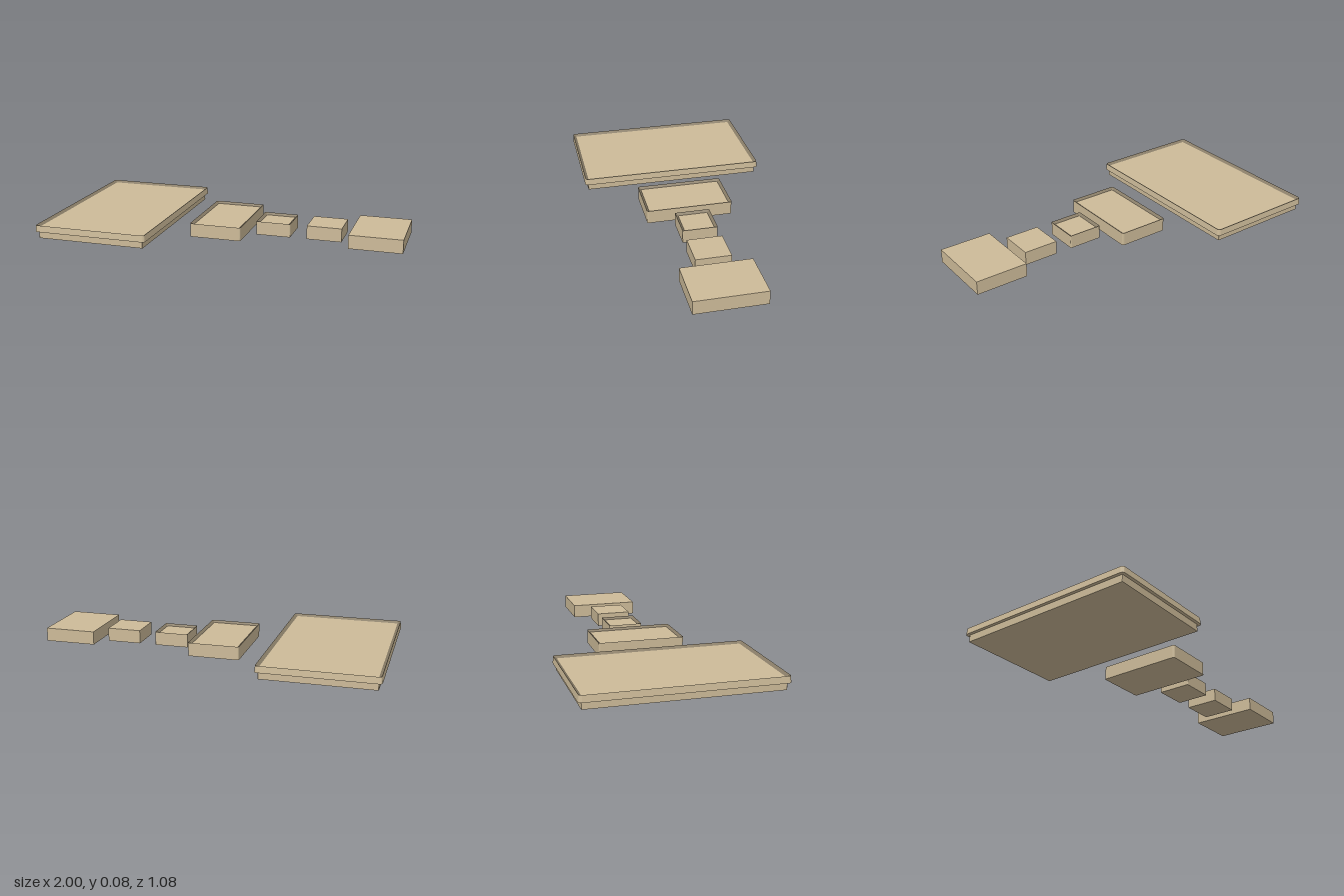
import * as THREE from 'three';

const HEIGHT = 0.077;
const tan = new THREE.MeshStandardMaterial({ color: 0xcdbb99 });
const shade = new THREE.MeshStandardMaterial({ color: 0x8a7e68 });

// Rectangle outline with small rounded corners; inset null collapses it to the centre.
function outline(w, d, r, inset) {
  const points = [];
  const radius = Math.max(r - inset, 0.003);
  for (let q = 0; q < 4; q++) {
    const sx = q === 0 || q === 3 ? 1 : -1;
    const sz = q < 2 ? 1 : -1;
    for (let s = 0; s <= 3; s++) {
      const a = (q + s / 3) * Math.PI / 2;
      points.push(inset === null ? [0, 0] : [
        sx * (w / 2 - inset - radius) + radius * Math.cos(a),
        sz * (d / 2 - inset - radius) + radius * Math.sin(a),
      ]);
    }
  }
  return points;
}

// Skins a profile of [inset, y] steps around the rectangle, with flat faces.
function skin(name, w, d, r, profile, material) {
  const loops = profile.map(([inset, y]) => outline(w, d, r, inset).map(([x, z]) => [x, y, z]));
  const positions = [];
  for (let i = 0; i < loops.length - 1; i++) {
    const n = loops[i].length;
    for (let j = 0; j < n; j++) {
      const k = (j + 1) % n;
      const a = loops[i][j], b = loops[i][k], c = loops[i + 1][k], e = loops[i + 1][j];
      positions.push(...a, ...e, ...c, ...a, ...c, ...b);
    }
  }
  const geometry = new THREE.BufferGeometry();
  geometry.setAttribute('position', new THREE.Float32BufferAttribute(positions, 3));
  geometry.computeVertexNormals();
  const mesh = new THREE.Mesh(geometry, material);
  mesh.name = name;
  return mesh;
}

// Tray: outer shell, sloping lip and sunken floor.
function tray(name, x, w, d, r, shell, lip, sink) {
  const group = new THREE.Group();
  group.name = name;
  const topInset = shell[shell.length - 1][0];
  const floorY = HEIGHT - sink;
  group.add(
    skin(name + 'Shell', w, d, r, [[null, 0], ...shell], tan),
    skin(name + 'Lip', w, d, r, [[topInset, HEIGHT], [lip, floorY]], shade),
    skin(name + 'Floor', w, d, r, [[lip, floorY], [null, floorY]], tan),
  );
  group.position.x = x;
  return group;
}

function block(name, x, w, d) {
  const mesh = new THREE.Mesh(new THREE.BoxGeometry(w, HEIGHT, d), tan);
  mesh.name = name;
  mesh.position.set(x, HEIGHT / 2, 0);
  return mesh;
}

export function createModel() {
  const model = new THREE.Group();
  model.name = 'traySet';
  // Large tray with an overhanging, slightly tapered rim
  model.add(tray('largeTray', -0.67, 0.66, 1.08, 0.018,
    [[0.018, 0], [0.018, 0.04], [0, 0.04], [0.004, HEIGHT]], 0.022, 0.012));
  // Two straight-sided trays
  model.add(tray('mediumTray', -0.037, 0.295, 0.495, 0.01, [[0, 0], [0, HEIGHT]], 0.015, 0.012));
  model.add(tray('smallTray', 0.26, 0.197, 0.197, 0.006, [[0, 0], [0, HEIGHT]], 0.015, 0.012));
  // Two plain blocks
  model.add(block('smallBlock', 0.552, 0.197, 0.197));
  model.add(block('mediumBlock', 0.852, 0.296, 0.394));
  return model;
}
